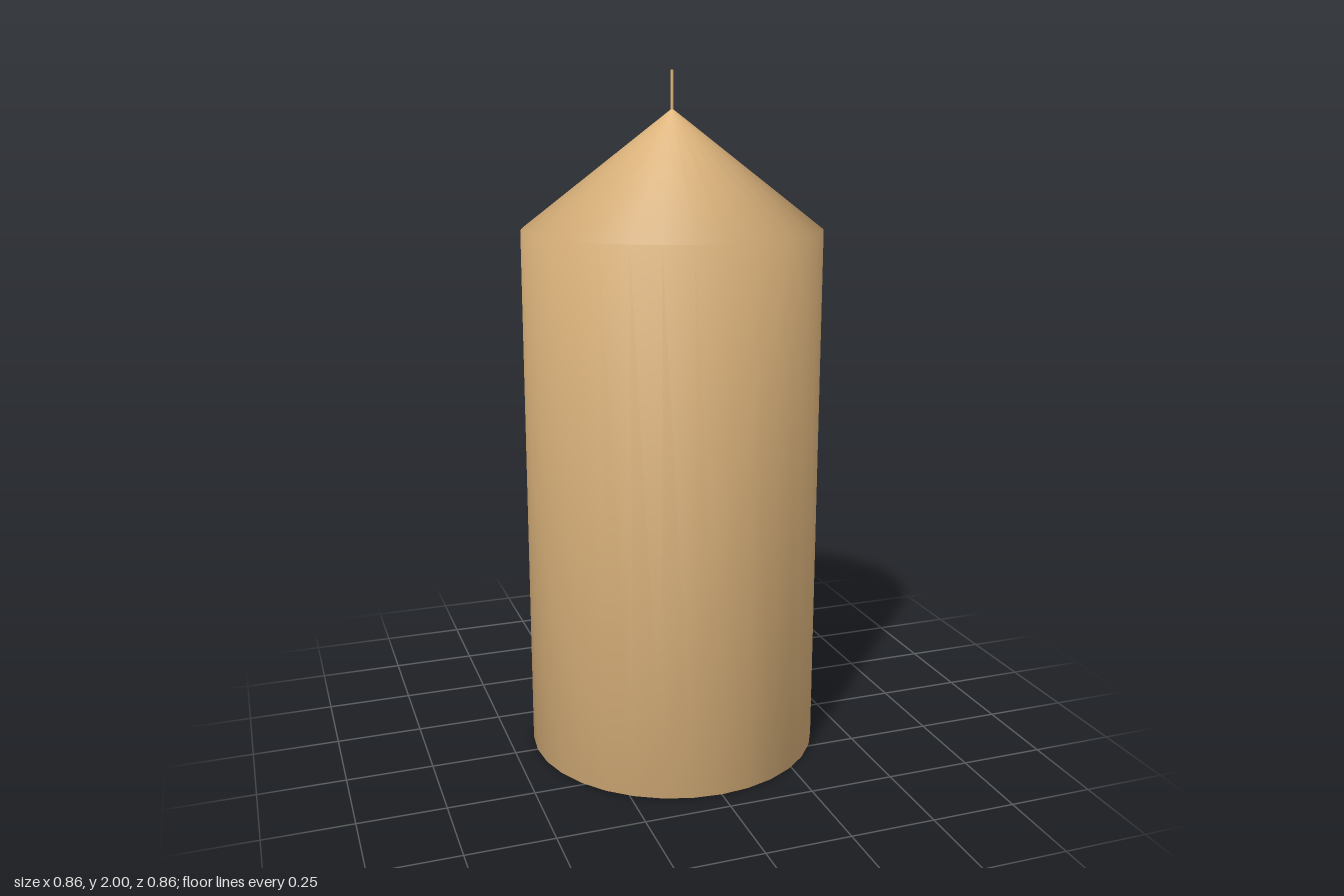
import * as THREE from 'three';

const SIDES = 32;
const RADIUS = 0.432;
const SHOULDER_Y = 1.56;
const TIP_Y = 1.895;
const TOP_Y = 2;

export function createModel() {
  const group = new THREE.Group();
  group.name = 'candle';
  const wax = new THREE.MeshStandardMaterial({ color: 0xdeb57d });

  // Wax body: flat base, straight wall and conical top, shaded as one smooth skin
  const profile = [
    [0, 0],
    [RADIUS, 0],
    [RADIUS, SHOULDER_Y],
    [0, TIP_Y],
  ].map(([r, y]) => new THREE.Vector2(r, y));
  const body = new THREE.Mesh(new THREE.LatheGeometry(profile, SIDES), wax);
  body.name = 'waxBody';
  group.add(body);

  // Thin wick, sunk slightly into the tip
  const wickBase = TIP_Y - 0.02;
  const wick = new THREE.Mesh(
    new THREE.CylinderGeometry(0.004, 0.004, TOP_Y - wickBase, 8),
    wax
  );
  wick.name = 'wick';
  wick.position.y = (TOP_Y + wickBase) / 2;
  group.add(wick);

  return group;
}
